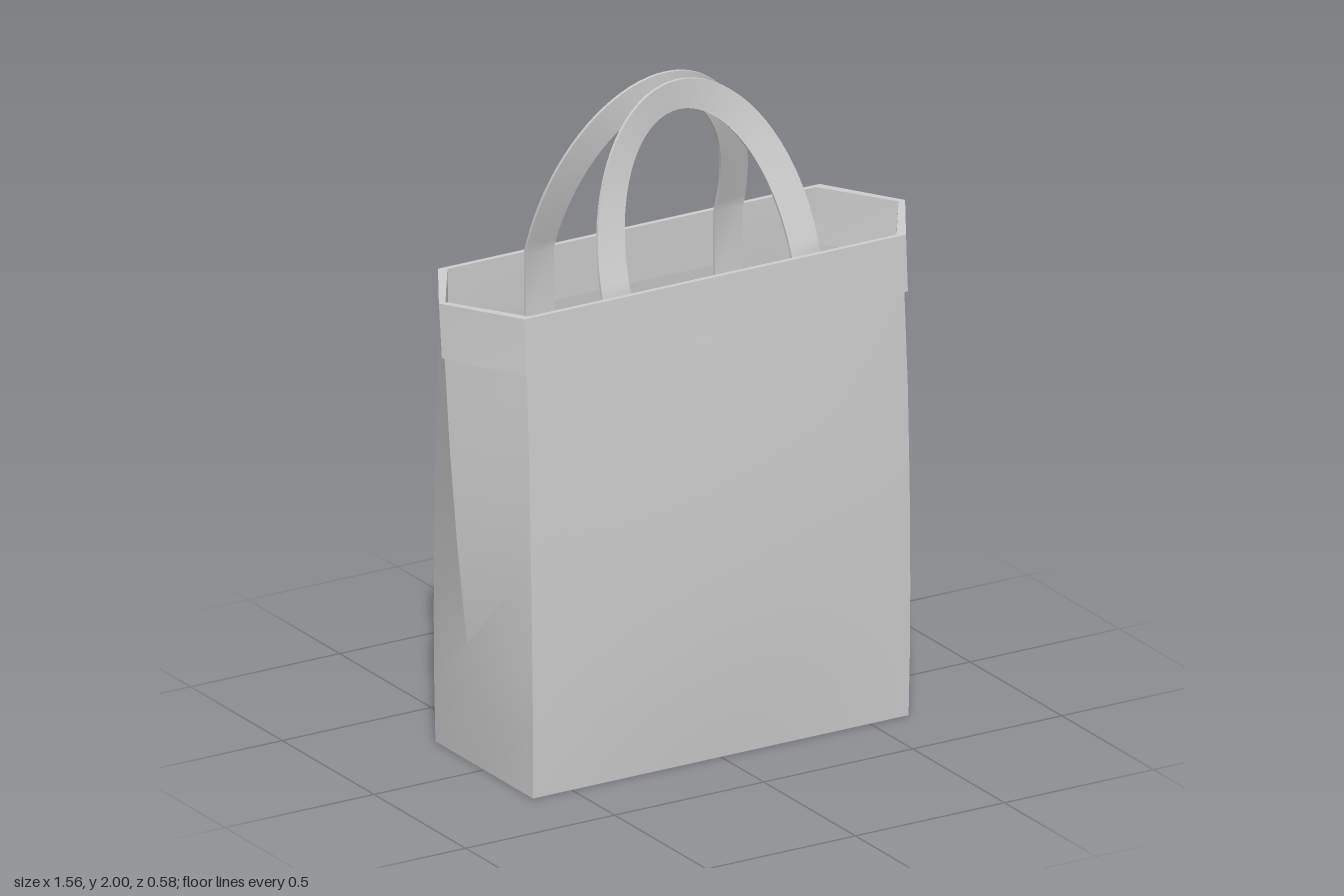
import * as THREE from 'three';
import { toCreasedNormals } from 'three/addons/utils/BufferGeometryUtils.js';

// Skin a list of equally long rings of points; each ring is a closed loop.
function loft(rings, crease) {
  const n = rings[0].length;
  const index = [];
  for (let i = 0; i < rings.length - 1; i++) {
    for (let j = 0; j < n; j++) {
      const k = (j + 1) % n;
      const a = i * n + j, b = i * n + k, c = b + n, d = a + n;
      index.push(a, b, c, a, c, d);
    }
  }
  const geometry = new THREE.BufferGeometry();
  geometry.setAttribute('position', new THREE.Float32BufferAttribute(rings.flat(2), 3));
  geometry.setIndex(index);
  return toCreasedNormals(geometry, crease);
}

// Six-sided bag section: corners at (cx, cz), side folds at ex, bulging long walls.
function bagRing([y, cx, cz, ex, bulge]) {
  const steps = 12;
  const points = [];
  for (const s of [1, -1]) {
    points.push([s * ex, y, 0]);
    for (let i = 0; i <= steps; i++) {
      const u = 1 - (2 * i) / steps;
      points.push([s * cx * u, y, -s * (cz + bulge * Math.cos((u * Math.PI) / 2))]);
    }
  }
  return points;
}

// Flat strap: straight legs inside the bag and an arch leaning to the middle.
function handleGeometry() {
  const rim = 1.46, half = 0.005, steps = 40;
  const section = (xo, yo, xi, yi, z) => [
    [xo, yo, z + half], [xo, yo, z - half], [xi, yi, z - half], [xi, yi, z + half],
  ];
  const cap = (x, y, z) => Array.from({ length: 4 }, () => [x, y, z]);
  const legY = 1.26, footZ = 0.21;
  const rings = [cap(0.317, legY, footZ), section(0.365, legY, 0.27, legY, footZ)];
  for (let i = 0; i <= steps; i++) {
    const t = (Math.PI * i) / steps, c = Math.cos(t), s = Math.sin(t);
    rings.push(section(0.365 * c, rim + 0.54 * s, 0.27 * c, rim + 0.45 * s, footZ - 0.176 * s));
  }
  rings.push(section(-0.365, legY, -0.27, legY, footZ), cap(-0.317, legY, footZ));
  return loft(rings, 0.6);
}

export function createModel() {
  const group = new THREE.Group();
  const fabric = new THREE.MeshStandardMaterial({ color: 0xcccccc });
  fabric.name = 'light grey fabric';

  // Bag shell, from the base up the outside, over the hem and down the inside
  const outside = [
    [0, 0.63, 0.266, 0.63, 0],
    [0.2, 0.632, 0.27, 0.664, 0.009],
    [0.4, 0.634, 0.269, 0.688, 0.017],
    [0.7, 0.635, 0.264, 0.72, 0.025],
    [1.0, 0.635, 0.254, 0.745, 0.016],
    [1.29, 0.633, 0.238, 0.763, 0.003],
  ];
  const hem = [
    [1.29, 0.64, 0.246, 0.772, 0.003],
    [1.46, 0.64, 0.236, 0.782, 0],
    [1.46, 0.618, 0.22, 0.76, 0],
    [1.29, 0.616, 0.222, 0.747, 0],
  ];
  const inside = outside.map(([y, cx, cz, ex, b]) =>
    [Math.max(y, 0.012), cx - 0.012, cz - 0.01, ex - 0.012, b]).reverse();
  const profile = [[0, 0, 0, 0, 0], ...outside, ...hem, ...inside, [0.012, 0, 0, 0, 0]];
  const bag = new THREE.Mesh(loft(profile.map(bagRing), 0.5), fabric);
  bag.name = 'bag';
  group.add(bag);

  // Two carrying straps, front and back
  const strap = handleGeometry();
  ['frontHandle', 'backHandle'].forEach((name, i) => {
    const handle = new THREE.Mesh(strap, fabric);
    handle.name = name;
    handle.rotation.y = i * Math.PI;
    group.add(handle);
  });
  return group;
}
